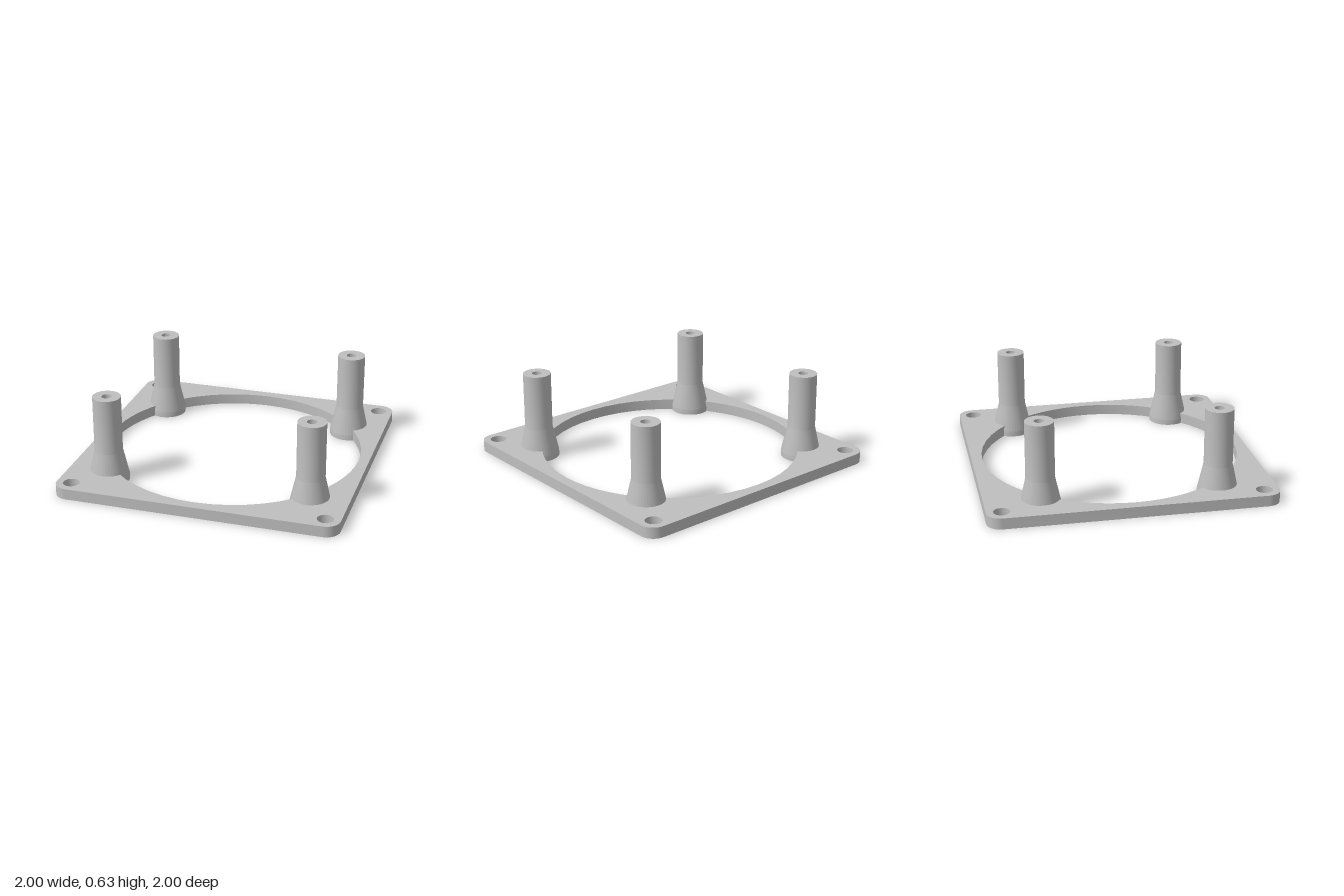
import * as THREE from 'three';
import { toCreasedNormals } from 'three/addons/utils/BufferGeometryUtils.js';

const POST_X = 0.725, POST_Z = 0.613;
const PLATE_H = 0.078, OPENING_R = 0.925;

// Square plate with rounded corners, screw holes and a large round opening
function plateGeometry() {
  const c = 0.9, r = 0.1;
  const shape = new THREE.Shape();
  for (let i = 0; i < 4; i++) {
    const a = i * Math.PI / 2;
    const sx = i === 0 || i === 3 ? 1 : -1, sy = i < 2 ? 1 : -1;
    shape.absarc(sx * c, sy * c, r, a, a + Math.PI / 2, false);
  }
  shape.closePath();

  // The opening bulges outwards inside each post, leaving room for the bore
  const d = Math.hypot(POST_X, POST_Z), pr = 0.1;
  const half = Math.acos((OPENING_R ** 2 + d * d - pr * pr) / (2 * OPENING_R * d));
  const sweep = Math.atan2(OPENING_R * Math.sin(half), OPENING_R * Math.cos(half) - d);
  const t = Math.atan2(POST_Z, POST_X);
  const angles = [t, Math.PI - t, Math.PI + t, 2 * Math.PI - t];
  const opening = new THREE.Path();
  angles.forEach((a, i) => {
    const next = i < 3 ? angles[i + 1] : angles[0] + 2 * Math.PI;
    opening.absarc(d * Math.cos(a), d * Math.sin(a), pr, a - sweep, a + sweep, false);
    opening.absarc(0, 0, OPENING_R, a + half, next - half, false);
  });
  opening.closePath();
  shape.holes.push(opening);

  // Corner screw holes
  for (const sx of [-1, 1]) for (const sy of [-1, 1]) {
    const hole = new THREE.Path();
    hole.absarc(sx * 0.895, sy * 0.895, 0.057, 0, Math.PI, false);
    hole.absarc(sx * 0.895, sy * 0.895, 0.057, Math.PI, 2 * Math.PI, false);
    shape.holes.push(hole);
  }
  const geo = new THREE.ExtrudeGeometry(shape, { depth: PLATE_H, bevelEnabled: false, curveSegments: 6 });
  geo.rotateX(-Math.PI / 2);
  return toCreasedNormals(geo, 0.5);
}

// Hollow standoff with flared foot, wide bore below and narrow bore at the top
function postGeometry() {
  const profile = [
    [0.062, 0], [0.141, 0], [0.141, 0.04], [0.099, 0.228], [0.099, 0.628],
    [0.035, 0.628], [0.035, 0.5], [0.062, 0.5], [0.062, 0],
  ].map(([x, y]) => new THREE.Vector2(x, y));
  return toCreasedNormals(new THREE.LatheGeometry(profile, 40), 0.15 + Math.PI / 40);
}

export function createModel() {
  const model = new THREE.Group();
  model.name = 'mountingBracket';
  const grey = new THREE.MeshStandardMaterial({ color: 0xbfbfbf });
  grey.name = 'grey';

  const plate = new THREE.Mesh(plateGeometry(), grey);
  plate.name = 'basePlate';
  model.add(plate);

  const geo = postGeometry();
  for (const sx of [-1, 1]) for (const sz of [-1, 1]) {
    const post = new THREE.Mesh(geo, grey);
    post.name = (sz > 0 ? 'front' : 'back') + (sx > 0 ? 'Left' : 'Right') + 'Post';
    post.position.set(sx * POST_X, 0, sz * POST_Z);
    model.add(post);
  }
  return model;
}
